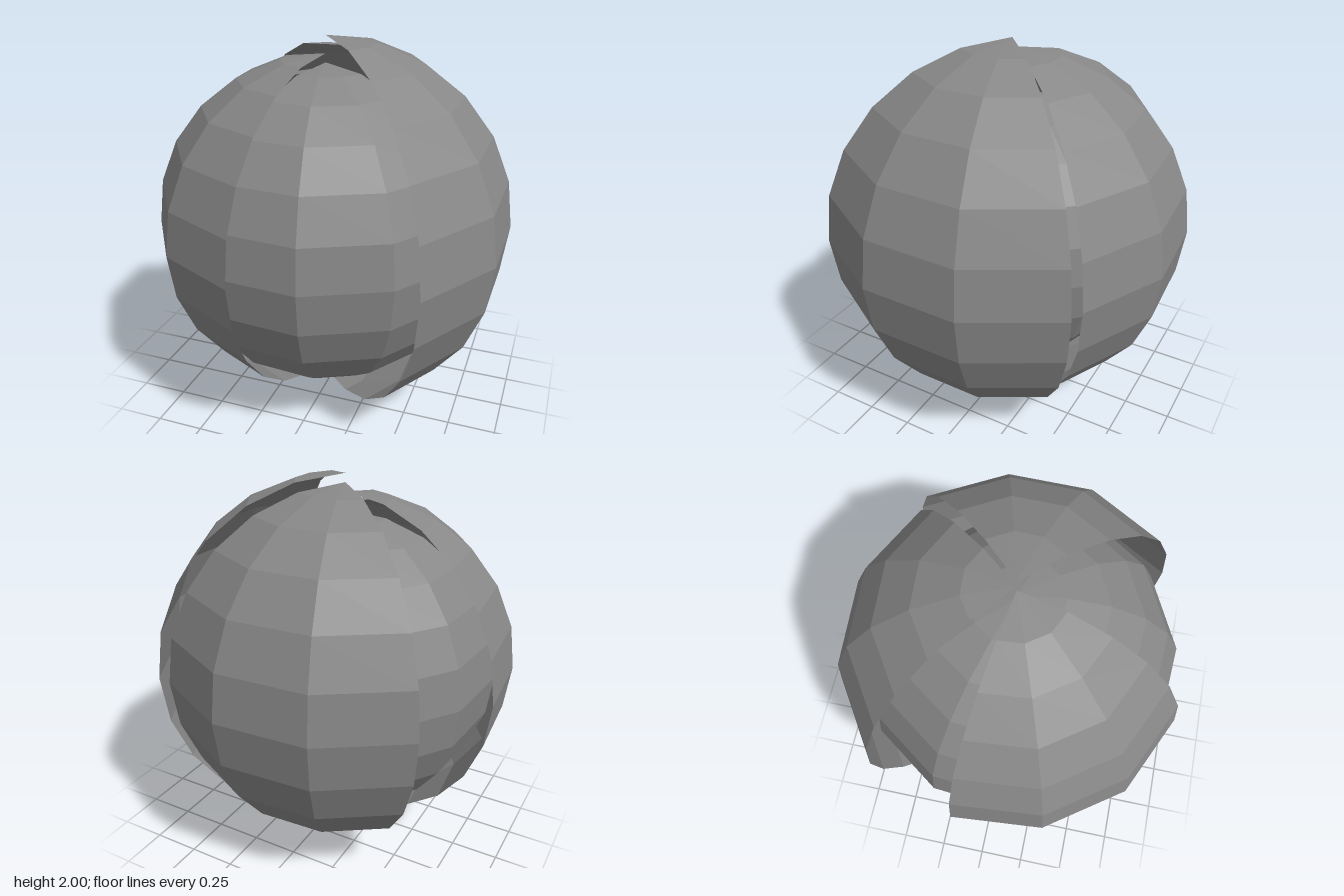
import * as THREE from 'three';

// Nested quarter-sphere shells, each layer one even step smaller than the last.
const STEP = 1 / 22;
const QUARTER = 90;
const SHELL_STARTS = [134.3, 228.5, 350, 71, 280.4, 176.6]; // degrees, outermost first

export function createModel() {
  const model = new THREE.Group();
  model.name = 'layeredSphere';

  const material = new THREE.MeshStandardMaterial({
    color: 0x888888,
    flatShading: true,
    side: THREE.DoubleSide, // open, thin shells
  });

  SHELL_STARTS.forEach((start, i) => {
    const shell = new THREE.Mesh(
      new THREE.SphereGeometry(
        1 - i * STEP, 3, 12,
        THREE.MathUtils.degToRad(start),
        THREE.MathUtils.degToRad(QUARTER)
      ),
      material
    );
    shell.name = `shellPanel${i + 1}`;
    shell.position.set(-0.038, 1, 0.02);
    model.add(shell);
  });

  return model;
}
